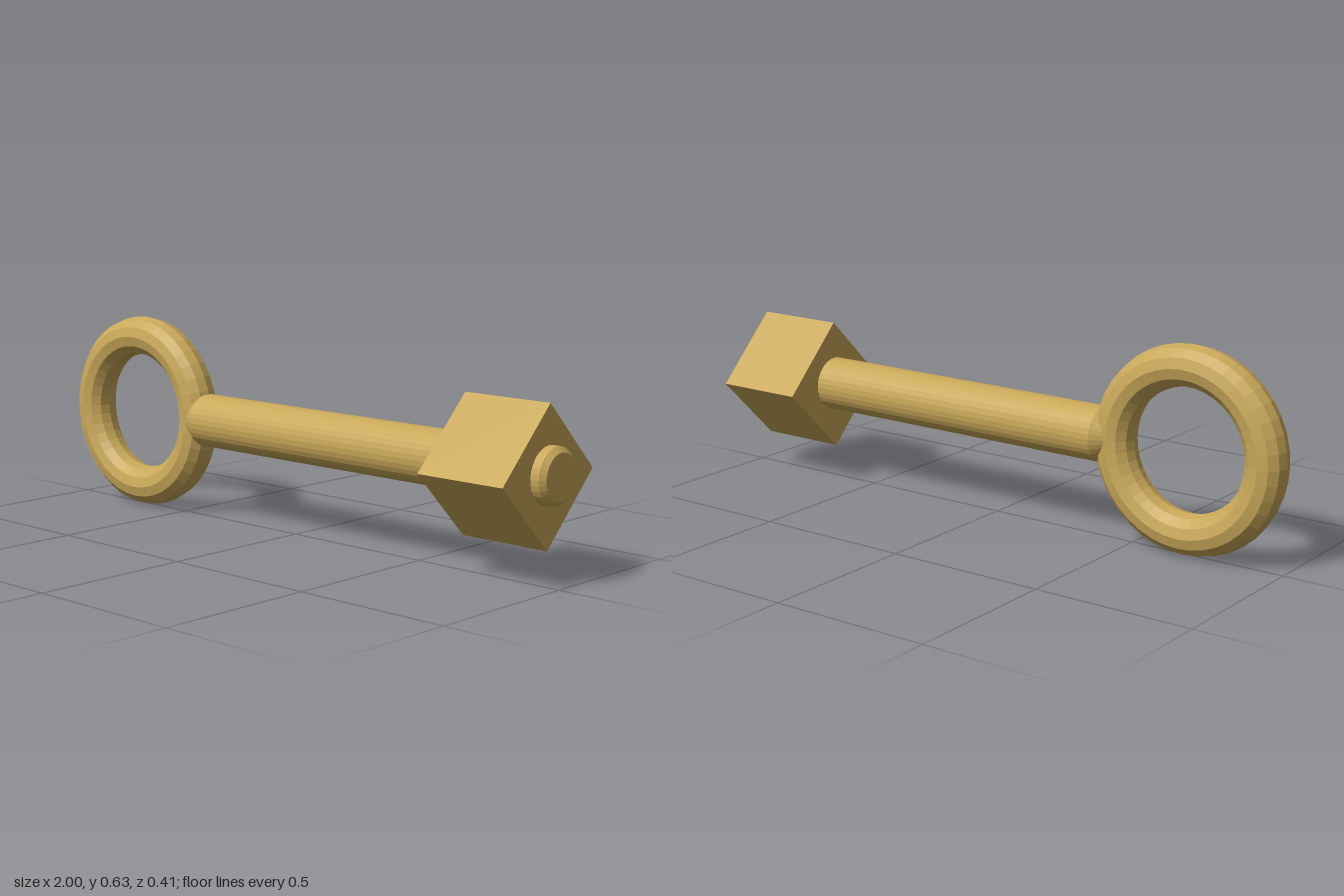
import * as THREE from 'three';

export function createModel() {
  const group = new THREE.Group();
  const brass = new THREE.MeshStandardMaterial({ color: 0xc9a859, flatShading: true });
  brass.name = 'brass';

  const add = (name, geometry, x, y) => {
    const mesh = new THREE.Mesh(geometry, brass);
    mesh.name = name;
    mesh.position.set(x, y, 0);
    group.add(mesh);
    return mesh;
  };

  // Ring eye, standing in the x-y plane
  add('ring', new THREE.TorusGeometry(0.251, 0.063, 12, 40), -0.686, 0.315);

  // Round shank with a chamfer at each end, running along x
  const profile = [
    [0, -0.445], [0.052, -0.445], [0.0845, -0.39],
    [0.0845, 0.985], [0.069, 1], [0, 1],
  ].map(([r, h]) => new THREE.Vector2(r, h));
  add('shank', new THREE.LatheGeometry(profile, 32), 0, 0.316).rotation.z = -Math.PI / 2;

  // Square nut turned onto its corner
  const side = 0.207 * Math.SQRT2;
  add('nut', new THREE.BoxGeometry(0.295, side, side), 0.81, 0.31).rotation.x = Math.PI / 4;

  return group;
}
